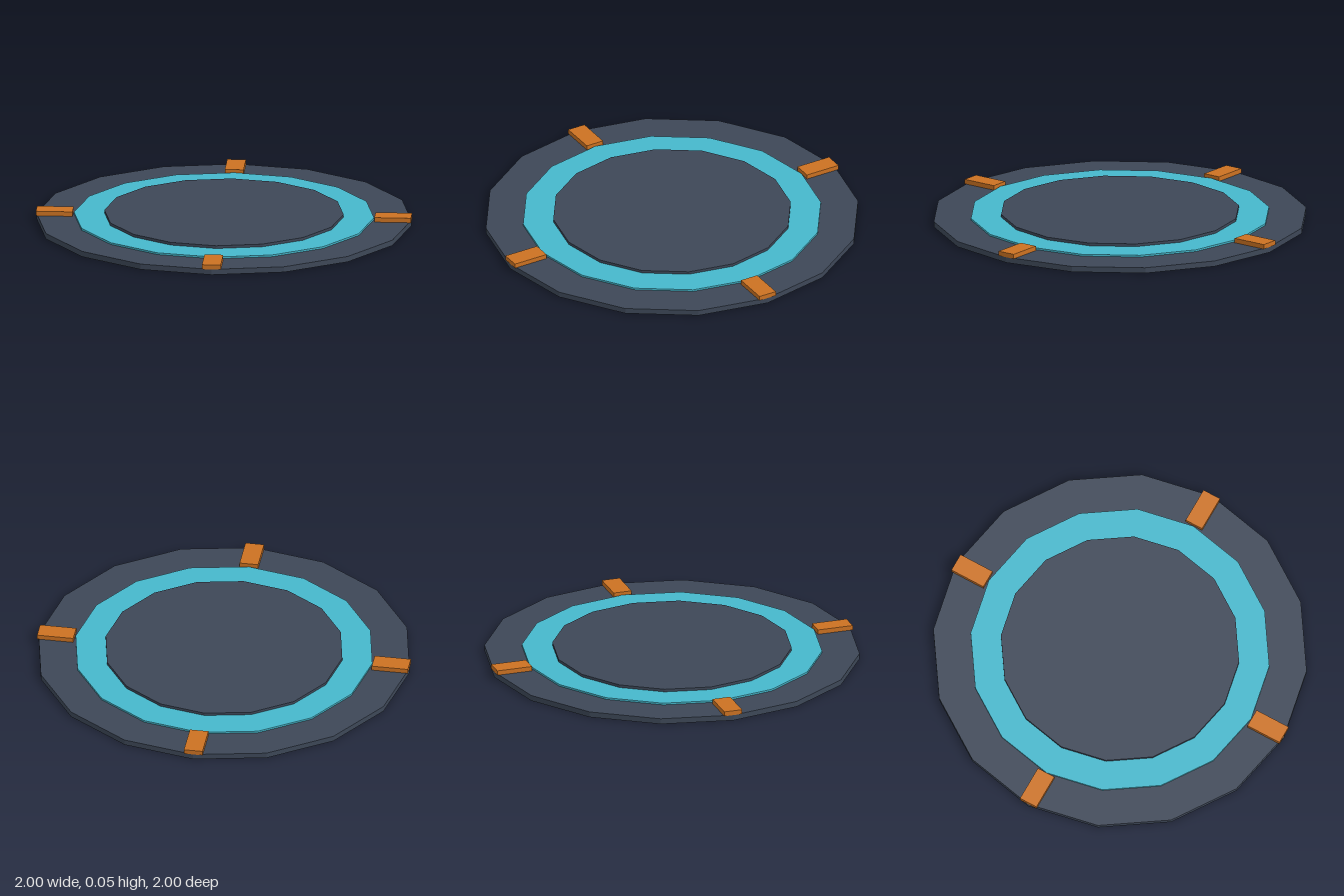
import * as THREE from 'three';

export function createModel() {
  const model = new THREE.Group();
  const paint = (name, color) => {
    const m = new THREE.MeshStandardMaterial({ color, flatShading: true });
    m.name = name;
    return m;
  };
  const slate = paint('slate', 0x3d4757);
  const teal = paint('teal', 0x46b8cc);
  const orange = paint('orange', 0xcc7222);

  const add = (name, geometry, material, y) => {
    const mesh = new THREE.Mesh(geometry, material);
    mesh.name = name;
    mesh.position.y = y;
    model.add(mesh);
    return mesh;
  };

  // sixteen-sided disc between two heights
  const disc = (name, radius, bottom, top, material) =>
    add(name, new THREE.CylinderGeometry(radius, radius, top - bottom, 16), material, (bottom + top) / 2);

  disc('base', 1, 0, 0.03, slate);
  disc('glowRing', 0.8, 0.03, 0.04, teal);
  disc('centrePlate', 0.638, 0.04, 0.055, slate);

  // four clamps around the rim
  const clampGeometry = new THREE.BoxGeometry(0.1, 0.025, 0.195);
  for (let i = 0; i < 4; i++) {
    const angle = (i * Math.PI) / 2;
    const clamp = add('clamp' + (i + 1), clampGeometry, orange, 0.0425);
    clamp.position.x = Math.sin(angle) * 0.9025;
    clamp.position.z = Math.cos(angle) * 0.9025;
    clamp.rotation.y = angle;
  }
  return model;
}
